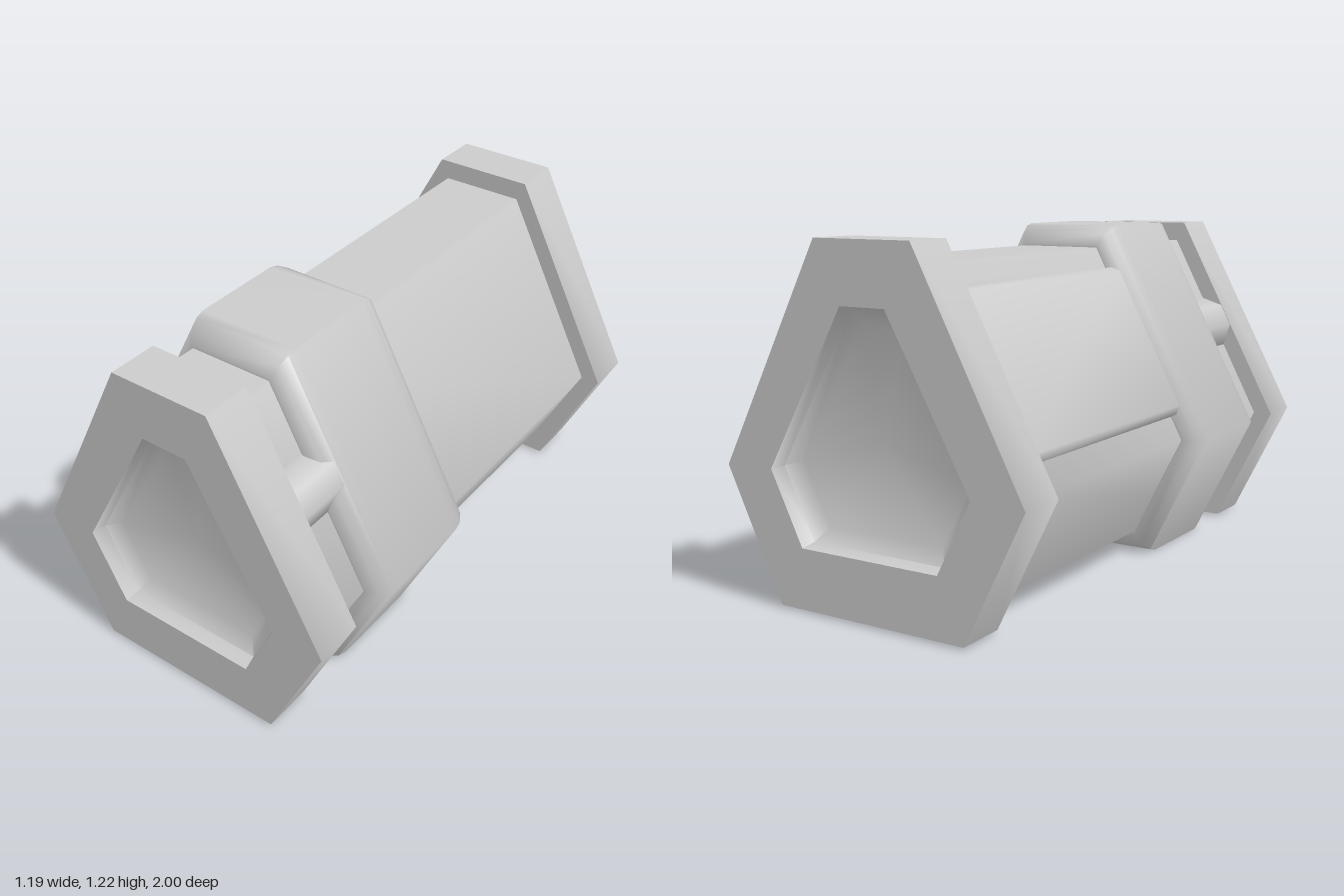
import * as THREE from 'three';
import { toCreasedNormals } from 'three/addons/utils/BufferGeometryUtils.js';

// Six-sided cross-sections, counter-clockwise seen from +z
const hex = (top, yTop, side, ySide, bottom, yBottom) => [
  [top, yTop], [-top, yTop], [-side, ySide], [-bottom, yBottom], [bottom, yBottom], [side, ySide]];
const OUTER = hex(0.19, 1.22, 0.595, 0.455, 0.37, 0);
const BODY = hex(0.155, 1.14, 0.515, 0.455, 0.325, 0.085);
const POCKET = hex(0.087, 1.007, 0.395, 0.462, 0.27, 0.215);

// Section between outer (k = 0) and body (k = 1) size
const mix = (k) => OUTER.map(([x, y], i) => [x + (BODY[i][0] - x) * k, y + (BODY[i][1] - y) * k]);
// Pocket section shrunk about its middle
const shrink = (s) => POCKET.map(([x, y]) => [x * s, 0.57 + (y - 0.57) * s]);

const material = new THREE.MeshStandardMaterial({ color: 0xcccccc });
const CREASE = Math.PI / 3;

// Skin a list of [section, z] rings
function loft(rings) {
  const pos = [];
  const at = (r, j) => {
    const [pts, z] = rings[r];
    const p = pts[j % pts.length];
    return [p[0], p[1], z];
  };
  for (let r = 0; r < rings.length - 1; r++) {
    for (let j = 0; j < rings[r][0].length; j++) {
      const a = at(r, j), b = at(r, j + 1), c = at(r + 1, j), d = at(r + 1, j + 1);
      pos.push(...a, ...b, ...d, ...a, ...d, ...c);
    }
  }
  const g = new THREE.BufferGeometry();
  g.setAttribute('position', new THREE.Float32BufferAttribute(pos, 3));
  return toCreasedNormals(g, CREASE);
}

export function createModel() {
  const group = new THREE.Group();
  const add = (name, geometry) => {
    const mesh = new THREE.Mesh(geometry, material);
    mesh.name = name;
    group.add(mesh);
    return mesh;
  };

  // Main barrel
  add('barrel', loft([[BODY, -0.83], [BODY, 0.83]]));

  // End flanges with a dished pocket
  const flange = loft([
    [BODY, 0.82], [mix(0.1), 0.82], [mix(0.1), 1],
    [POCKET, 1], [shrink(0.97), 0.95], [shrink(0.84), 0.91], [shrink(0), 0.9],
  ]);
  add('frontFlange', flange);
  add('backFlange', flange).rotation.y = Math.PI;

  // Rounded collar
  add('collar', loft([
    [BODY, 0.15], [mix(0.9), 0.15], [mix(0.4), 0.17], [mix(0.1), 0.21], [mix(0), 0.245],
    [mix(0), 0.585], [mix(0.1), 0.62], [mix(0.4), 0.66], [mix(0.9), 0.68], [BODY, 0.68],
  ]));

  // Octagonal lugs between the collar and the front flange
  for (const side of [1, -1]) {
    const lug = new THREE.CylinderGeometry(0.115, 0.115, 0.24, 8);
    lug.rotateX(Math.PI / 2);
    lug.rotateZ(THREE.MathUtils.degToRad(27.7 + 22.5));
    if (side < 0) lug.rotateY(Math.PI);
    lug.translate(0.285 * side, 0.795, 0.72);
    add(side > 0 ? 'leftLug' : 'rightLug', lug);
  }

  // Raised panel on one upper face: t runs down the face, n outward
  const face = (t, n) => [-0.155 - 0.465 * t - 0.885 * n, 1.14 - 0.885 * t + 0.465 * n];
  const panel = [[0.09, -0.02], [0.09, 0.02], [0.115, 0.04], [0.655, 0.04], [0.68, 0.02], [0.68, -0.02]]
    .map(([t, n]) => new THREE.Vector2(...face(t, n)));
  const panelGeometry = new THREE.ExtrudeGeometry(new THREE.Shape(panel), { depth: 1, bevelEnabled: false });
  panelGeometry.translate(0, 0, -0.83);
  add('sidePanel', toCreasedNormals(panelGeometry, CREASE));

  return group;
}
